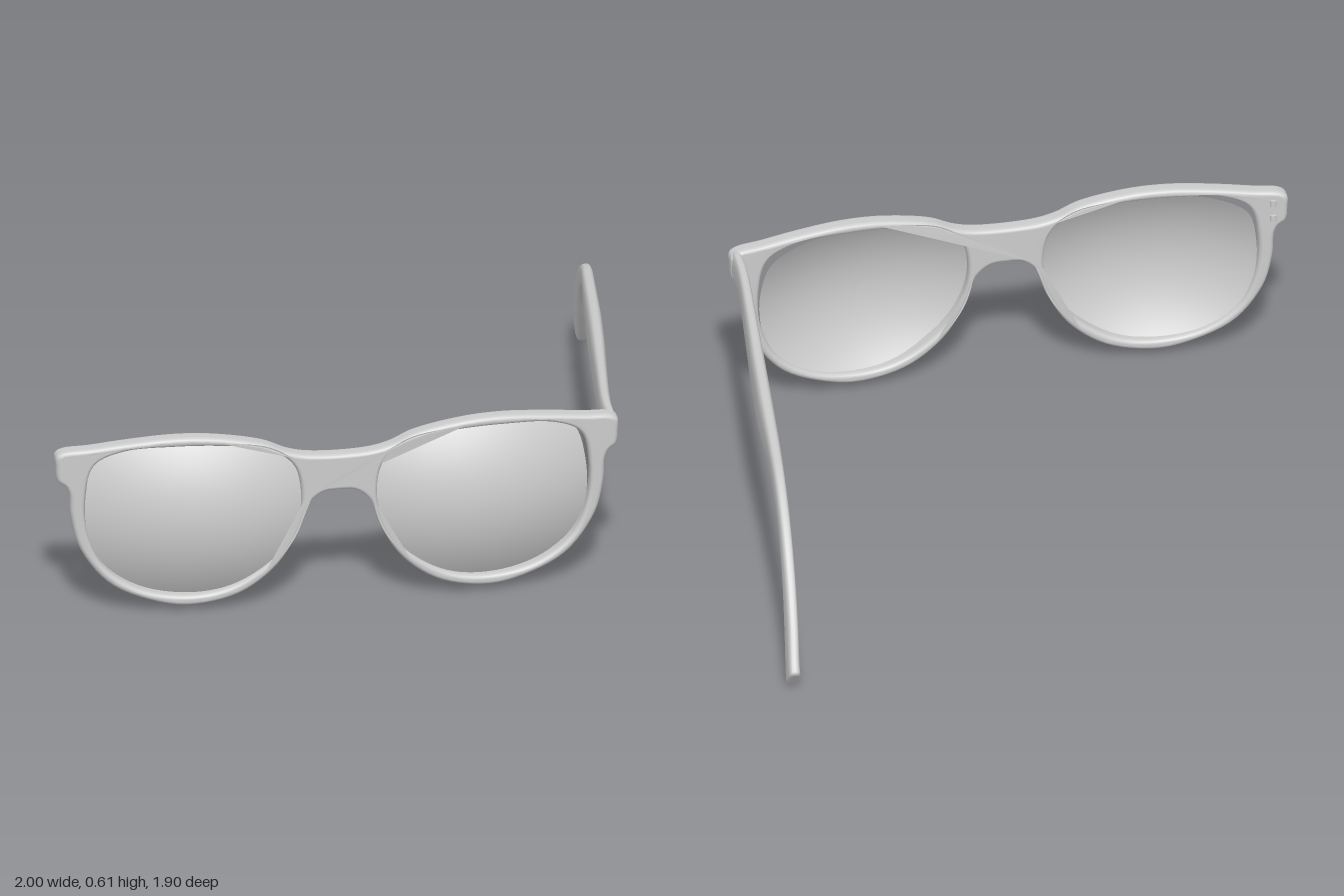
import * as THREE from 'three';
import { mergeVertices } from 'three/addons/utils/BufferGeometryUtils.js';

const FRAME_X = -0.095; // the frame sits off centre because only one temple is fitted
const grey = new THREE.MeshStandardMaterial({ color: 0xcccccc });
const greyThin = new THREE.MeshStandardMaterial({ color: 0xcccccc, side: THREE.DoubleSide });

// Half of the frame outline, from bridge top round to bridge bottom
const OUTLINE = [
  [0.09, 0.526], [0.165, 0.542], [0.24, 0.575], [0.4, 0.605], [0.535, 0.61], [0.695, 0.596],
  [0.8, 0.582], [0.885, 0.573], [0.907, 0.558], [0.908, 0.52], [0.902, 0.472], [0.877, 0.45],
  [0.865, 0.42], [0.86, 0.345], [0.83, 0.23], [0.735, 0.105], [0.585, 0.036], [0.47, 0.021],
  [0.32, 0.055], [0.202, 0.145], [0.132, 0.26], [0.095, 0.358], [0.05, 0.394],
];
// Lens opening
const OPENING = [
  [0.122, 0.375], [0.145, 0.49], [0.225, 0.552], [0.375, 0.575], [0.535, 0.58], [0.695, 0.569],
  [0.785, 0.525], [0.815, 0.41], [0.805, 0.275], [0.755, 0.165], [0.64, 0.083], [0.48, 0.055],
  [0.345, 0.08], [0.215, 0.17], [0.148, 0.265],
];

const smoothLoop = (pts, n) =>
  new THREE.CatmullRomCurve3(pts.map(([x, y]) => new THREE.Vector3(x, y, 0)), true)
    .getPoints(n).slice(0, n).map((p) => new THREE.Vector2(p.x, p.y));
const mirrored = (pts) => pts.map(([x, y]) => [-x, y]).reverse();

function part(name, geo, mat = grey) {
  const m = new THREE.Mesh(geo, mat);
  m.name = name;
  return m;
}

// Surface through equal-sized rings of points; ends closed if asked
function loft(rings, capped) {
  const n = rings[0].length, pos = rings.flat().flatMap((p) => [p.x, p.y, p.z]), idx = [];
  for (let i = 0; i < rings.length - 1; i++) {
    for (let j = 0; j < n; j++) {
      const a = i * n + j, b = i * n + ((j + 1) % n);
      idx.push(a, b, a + n, b, b + n, a + n);
    }
  }
  if (capped) {
    const e = (rings.length - 1) * n;
    for (let j = 1; j < n - 1; j++) idx.push(0, j + 1, j, e, e + j, e + j + 1);
  }
  const g = new THREE.BufferGeometry();
  g.setAttribute('position', new THREE.Float32BufferAttribute(pos, 3));
  g.setIndex(idx);
  g.computeVertexNormals();
  return g;
}

// Front frame: rounded plate with two openings, bowed backwards to the sides
function frameGeometry() {
  const shape = new THREE.Shape(smoothLoop([...OUTLINE, [0, 0.398], ...mirrored(OUTLINE)], 260));
  // The outline runs clockwise, so the openings run the other way
  for (const pts of [OPENING, mirrored(OPENING)]) {
    shape.holes.push(new THREE.Path(smoothLoop(pts, 100).reverse()));
  }
  const g = new THREE.ExtrudeGeometry(shape, {
    depth: 0.024, bevelEnabled: true, bevelThickness: 0.017, bevelSize: 0.013,
    bevelOffset: -0.013, bevelSegments: 5,
  });
  const p = g.attributes.position;
  for (let i = 0; i < p.count; i++) p.setZ(i, p.getZ(i) + 0.867 - 0.06 * p.getX(i) ** 2);
  g.deleteAttribute('uv');
  g.deleteAttribute('normal');
  const merged = mergeVertices(g, 1e-4);
  merged.computeVertexNormals();
  return merged;
}

// Domed lens seated in the rim, leaving a slim gap at the upper outer corner
function lensGeometry(side) {
  const cx = 0.45, cy = 0.32;
  const edge = smoothLoop(OPENING, 90).map((p) => {
    const dx = p.x - cx, dy = p.y - cy;
    const pull = Math.max(0, Math.cos(Math.atan2(dy, dx) - 0.6)) ** 3;
    const s = 1.02 - 0.05 * pull;
    return [dx * s, dy * s];
  });
  if (side < 0) edge.reverse();
  const rings = [];
  for (let i = 0; i <= 18; i++) {
    const t = Math.max(i / 18, 0.001);
    rings.push(edge.map(([ex, ey]) => {
      const dx = ex * t, dy = ey * t, x = cx + dx;
      const dome = 1 - (dx / 0.36) ** 2 - (dy / 0.27) ** 2;
      return new THREE.Vector3(side * x, cy + dy, 0.877 - 0.07 * x * x + 0.087 * dome);
    }));
  }
  return loft(rings, false);
}

// Temple stations: top edge z, y; bottom edge z, y; centre x; half thickness
const TEMPLE = [
  [0.835, 0.573, 0.825, 0.464, 0.792, 0.017],
  [0.72, 0.572, 0.72, 0.466, 0.794, 0.018],
  [0.44, 0.562, 0.44, 0.426, 0.824, 0.021],
  [0.235, 0.553, 0.235, 0.402, 0.848, 0.024],
  [0.0, 0.54, 0.0, 0.391, 0.874, 0.025],
  [-0.15, 0.528, -0.15, 0.402, 0.889, 0.023],
  [-0.28, 0.515, -0.275, 0.419, 0.902, 0.021],
  [-0.43, 0.49, -0.39, 0.415, 0.917, 0.019],
  [-0.58, 0.407, -0.52, 0.371, 0.93, 0.018],
  [-0.735, 0.282, -0.655, 0.27, 0.946, 0.018],
  [-0.85, 0.178, -0.77, 0.13, 0.962, 0.019],
  [-0.935, 0.1, -0.868, 0.014, 0.977, 0.02],
  [-0.956, 0.074, -0.892, -0.004, 0.979, 0.02],
];

function templeGeometry() {
  // Top and bottom edges run through the same stations, so they share one parameter
  const edge = (z, y) => new THREE.CatmullRomCurve3(TEMPLE.map((r) => new THREE.Vector3(r[4], r[y], r[z])));
  const top = edge(0, 1), bottom = edge(2, 3);
  const steps = 84, n = 24;
  const sq = (v) => Math.sign(v) * Math.abs(v) ** 0.65;
  const ring = (t, shrink) => {
    const a = top.getPoint(t), b = bottom.getPoint(t);
    const f = t * (TEMPLE.length - 1), k = Math.min(Math.floor(f), TEMPLE.length - 2);
    const w = THREE.MathUtils.lerp(TEMPLE[k][5], TEMPLE[k + 1][5], f - k) * shrink;
    const mid = a.clone().add(b).multiplyScalar(0.5);
    const half = a.clone().sub(b).multiplyScalar(0.5 - (1 - shrink) * 0.2);
    return Array.from({ length: n }, (_, j) => {
      const q = (j / n) * Math.PI * 2;
      const p = mid.clone().addScaledVector(half, sq(Math.cos(q)));
      p.x += w * sq(Math.sin(q));
      return p;
    });
  };
  const rings = [ring(0, 0.5)];
  for (let i = 0; i <= steps; i++) rings.push(ring(i / steps, i === 0 || i === steps ? 0.75 : 1));
  rings.push(ring(1, 0.4));
  return loft(rings, true);
}

export function createModel() {
  const model = new THREE.Group();
  model.name = 'glasses';

  const front = new THREE.Group();
  front.name = 'front';
  front.position.x = FRAME_X;
  front.add(
    part('frame', frameGeometry()),
    part('leftLens', lensGeometry(1), greyThin),
    part('rightLens', lensGeometry(-1), greyThin),
  );

  // Hinge left bare on the side without a temple
  const hinge = new THREE.Group();
  hinge.name = 'rightHinge';
  for (const y of [0.485, 0.54]) {
    const k = part('hingeKnuckle', new THREE.CylinderGeometry(0.011, 0.011, 0.022, 16));
    k.position.set(-0.86, y, 0.806);
    hinge.add(k);
  }
  const plate = part('hingePlate', new THREE.BoxGeometry(0.03, 0.085, 0.02));
  plate.position.set(-0.868, 0.512, 0.82);
  hinge.add(plate);
  front.add(hinge);

  model.add(front, part('leftTemple', templeGeometry()));
  return model;
}
